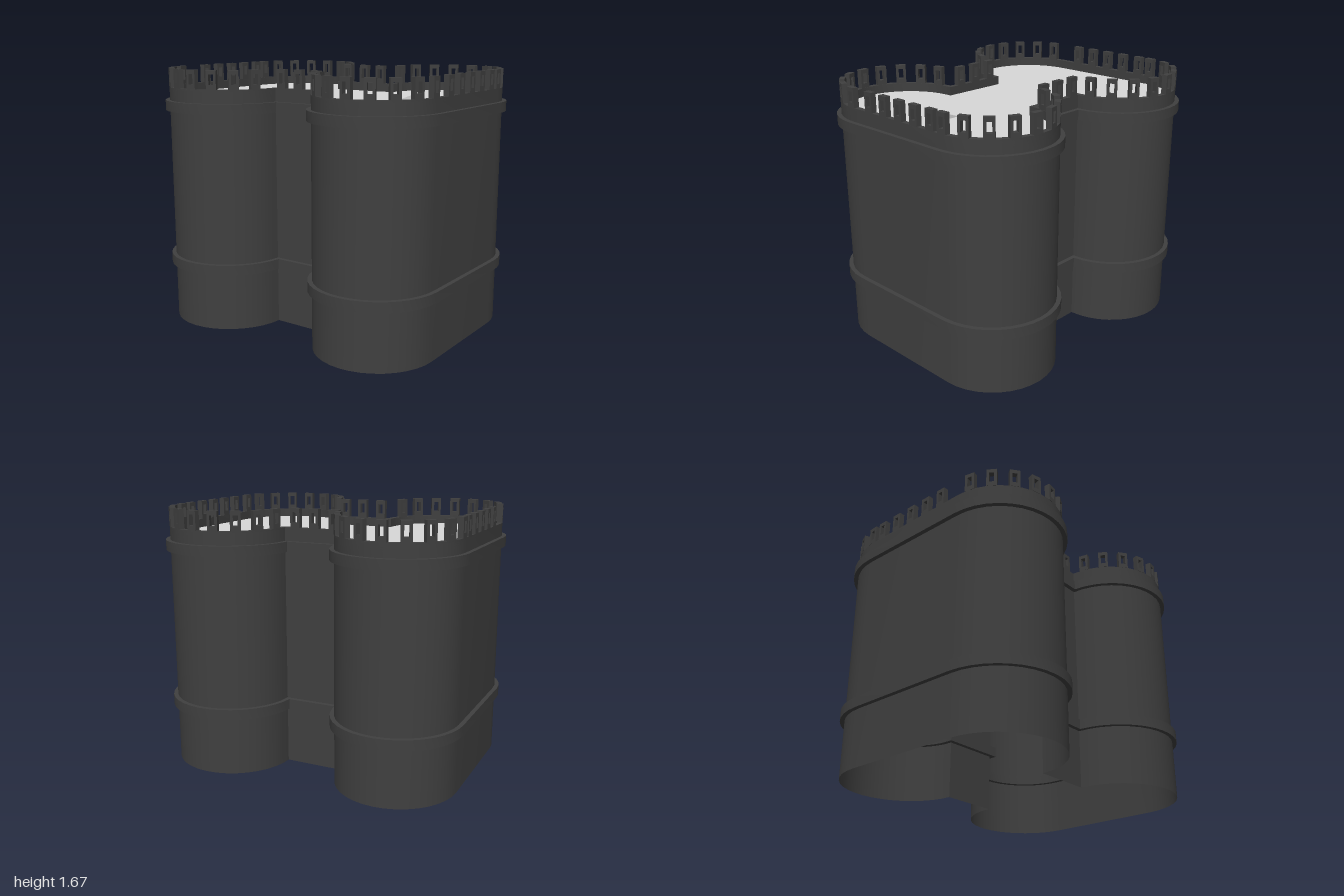
import * as THREE from 'three';
import { toCreasedNormals } from 'three/addons/utils/BufferGeometryUtils.js';

const CX = 0.58, CZ = 0.385, R = 0.39, SEG = 18;
const THICK = 0.035, FLOOR_Y = 1.495, PARAPET_Y = 1.55;

// Plan outline (two stadiums joined by a bridge), offset outwards by d
function outline(d) {
  const r = R + d, half = [];
  const a = Math.asin(Math.max(d, 0) / r);
  const arc = (cy, from, to) => {
    for (let i = 0; i <= SEG; i++) {
      const t = from + (to - from) * i / SEG;
      half.push(new THREE.Vector2(CX + r * Math.cos(t), cy + r * Math.sin(t)));
    }
  };
  if (d < 0) half.push(new THREE.Vector2(CX - r, -CZ - d));
  arc(-CZ, Math.PI + a, 2 * Math.PI);
  arc(CZ, 0, Math.PI - a);
  if (d < 0) half.push(new THREE.Vector2(CX - r, CZ + d));
  return [...half, ...half.map(p => p.clone().negate())];
}

// Solid ring following the outline
function ring(outer, inner, y0, y1) {
  const shape = new THREE.Shape(outline(outer));
  shape.holes.push(new THREE.Path(outline(inner)));
  const g = new THREE.ExtrudeGeometry(shape, { depth: y1 - y0, bevelEnabled: false });
  g.rotateX(-Math.PI / 2).translate(0, y0, 0);
  return toCreasedNormals(g, 0.5);
}

// Thin upright wall following the outline, open at the bottom
function wallGeometry(height) {
  const pts = outline(0);
  pts.push(pts[0]);
  const n = pts.length;
  const g = new THREE.PlaneGeometry(1, 1, n - 1, 1);
  const pos = g.attributes.position;
  for (let i = 0; i < pos.count; i++) {
    const p = pts[i % n];
    pos.setXYZ(i, p.x, i < n ? height : 0, -p.y);
  }
  return toCreasedNormals(g, 0.5);
}

function rectPath(path, x, y0, y1) {
  path.moveTo(-x, y0);
  path.lineTo(x, y0);
  path.lineTo(x, y1);
  path.lineTo(-x, y1);
  path.closePath();
  return path;
}

export function createModel() {
  const model = new THREE.Group();
  model.name = 'twinTowerKeep';

  const stone = new THREE.MeshStandardMaterial({ color: 0x404040, side: THREE.DoubleSide });
  stone.name = 'dark stone';
  const pale = new THREE.MeshStandardMaterial({ color: 0xd8d8d8, side: THREE.DoubleSide });
  pale.name = 'pale roof';

  const add = (name, geometry, material, parent = model) => {
    const mesh = new THREE.Mesh(geometry, material);
    mesh.name = name;
    parent.add(mesh);
    return mesh;
  };

  // Walls, bands and parapet
  add('outerWall', wallGeometry(PARAPET_Y - 0.01), stone);
  add('lowerBand', ring(0.028, -0.03, 0.372, 0.438), stone);
  add('upperBand', ring(0.028, -0.03, 1.4, 1.465), stone);
  add('parapet', ring(0, -THICK, 1.465, PARAPET_Y), stone);

  // Roof deck
  const deck = new THREE.ShapeGeometry(new THREE.Shape(outline(-THICK)));
  deck.rotateX(-Math.PI / 2).translate(0, FLOOR_Y, 0);
  add('roofDeck', deck, pale);

  // Roof hatch: small wedge, rising towards +x
  const wedge = new THREE.Shape([
    new THREE.Vector2(-0.043, 0), new THREE.Vector2(0.043, 0), new THREE.Vector2(0.043, 0.03),
  ]);
  const hatchGeo = new THREE.ExtrudeGeometry(wedge, { depth: 0.125, bevelEnabled: false });
  add('roofHatch', hatchGeo, pale).position.set(0.577, FLOOR_Y, -0.0625);

  // Merlons, each pierced by a narrow slot
  const block = rectPath(new THREE.Shape(), 0.032, 0, 0.12);
  block.holes.push(rectPath(new THREE.Path(), 0.015, 0.03, 0.095));
  const merlonGeo = new THREE.ExtrudeGeometry(block, { depth: THICK, bevelEnabled: false });
  merlonGeo.translate(0, 0, -THICK);
  const merlons = new THREE.Group();
  merlons.name = 'merlons';
  model.add(merlons);
  const merlon = (x, z, nx, nz) => {
    const m = add('merlon', merlonGeo, stone, merlons);
    m.position.set(x, PARAPET_Y, z);
    m.rotation.y = Math.atan2(nx, nz);
  };

  // Straight tower sides
  for (const s of [-1, 1])
    for (const z of [0.23, 0.097, -0.037, -0.17, -0.305]) merlon(s * (CX + R), z, s, 0);

  // Bridge
  for (const s of [-1, 1])
    for (const x of [-0.145, -0.01, 0.12]) merlon(x, s * CZ, 0, s);

  // Rounded tower ends; the front of the -x tower is half a step out of phase
  for (const sx of [-1, 1])
    for (const sz of [-1, 1]) {
      const shifted = sx < 0 && sz > 0;
      for (let k = -4; k <= 4; k++) {
        if (shifted && k === -4) continue;
        const t = THREE.MathUtils.degToRad((shifted ? 74.5 : 85) + 20.7 * k);
        const nx = sx * Math.cos(t), nz = sz * Math.sin(t);
        merlon(sx * CX + R * nx, sz * CZ + R * nz, nx, nz);
      }
    }

  return model;
}
